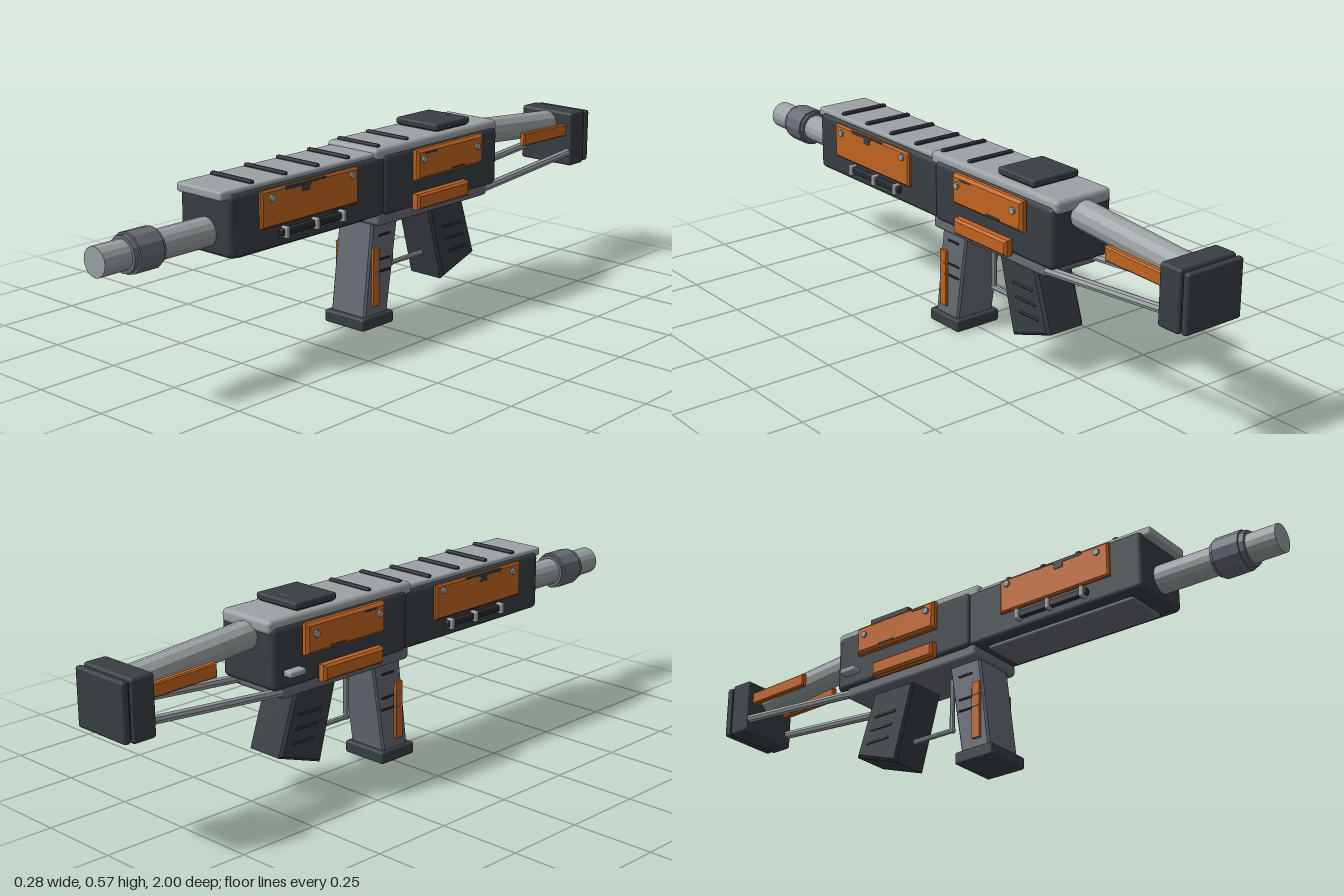
import * as THREE from 'three';
import { RoundedBoxGeometry } from 'three/addons/geometries/RoundedBoxGeometry.js';

const paint = (name, color) => {
  const m = new THREE.MeshStandardMaterial({ color });
  m.name = name;
  return m;
};

export function createModel() {
  const light = paint('light grey', 0x9ca2a4);
  const mid = paint('mid grey', 0x676c74);
  const dark = paint('dark grey', 0x383e43);
  const black = paint('near black', 0x25292d);
  const orange = paint('orange', 0xc2651f);

  const model = new THREE.Group();
  model.name = 'blaster';

  const add = (name, geometry, material) => {
    const mesh = new THREE.Mesh(geometry, material);
    mesh.name = name;
    model.add(mesh);
    return mesh;
  };

  // Soft-edged box given by its limits on each axis
  const box = (name, mat, [x0, x1], [y0, y1], [z0, z1], r = 0.006) => {
    const g = new RoundedBoxGeometry(x1 - x0, y1 - y0, z1 - z0, 2, r);
    g.translate((x0 + x1) / 2, (y0 + y1) / 2, (z0 + z1) / 2);
    return add(name, g, mat);
  };

  // Side profile of [z, y] points, extruded across x with bevelled edges
  const prism = (name, mat, points, x0, x1, b = 0.006) => {
    const shape = new THREE.Shape(points.map(([z, y]) => new THREE.Vector2(z, y)));
    const depth = x1 - x0 - 2 * b;
    const g = new THREE.ExtrudeGeometry(shape, {
      depth, bevelEnabled: true, bevelSize: b, bevelThickness: b, bevelOffset: -b, bevelSegments: 1,
    });
    g.translate(0, 0, -depth / 2);
    g.rotateY(-Math.PI / 2);
    g.translate((x0 + x1) / 2, 0, 0);
    return add(name, g, mat);
  };
  const rect = (z0, z1, y0, y1) => [[z0, y0], [z1, y0], [z1, y1], [z0, y1]];

  // Faceted rod between two points
  const rod = (name, mat, a, b, r, sides = 12) => {
    const p = new THREE.Vector3(...a), q = new THREE.Vector3(...b);
    const g = new THREE.CylinderGeometry(r, r, p.distanceTo(q), sides).toNonIndexed();
    g.computeVertexNormals();
    const m = add(name, g, mat);
    m.position.copy(p).add(q).multiplyScalar(0.5);
    m.quaternion.setFromUnitVectors(new THREE.Vector3(0, 1, 0), q.sub(p).normalize());
    return m;
  };

  // Barrel and muzzle collar
  rod('barrel', light, [0, 0.407, 0.58], [0, 0.407, 1], 0.042, 16);
  rod('muzzleCollar', mid, [0, 0.407, 0.815], [0, 0.407, 0.895], 0.058, 12);
  rod('muzzleCollarLip', mid, [0, 0.407, 0.805], [0, 0.407, 0.91], 0.052, 12);

  // Fore body
  box('foreBody', dark, [-0.1, 0.1], [0.345, 0.522], [0.01, 0.622], 0.016);
  box('foreTopRail', light, [-0.088, 0.088], [0.507, 0.534], [0.03, 0.645], 0.008);
  box('foreBottomPlate', mid, [-0.07, 0.07], [0.334, 0.36], [0.065, 0.57], 0.006);

  // Receiver with top cover and belly plate
  box('receiver', dark, [-0.106, 0.106], [0.345, 0.525], [-0.5, 0.022], 0.016);
  box('receiverCover', light, [-0.098, 0.098], [0.505, 0.546], [-0.508, 0.05], 0.014);
  box('bellyPlate', mid, [-0.098, 0.098], [0.314, 0.355], [-0.465, 0.038], 0.012);

  // Cross ribs along the top
  for (const z of [0.145, 0.27, 0.395, 0.522])
    box('topRib', black, [-0.08, 0.08], [0.525, 0.543], [z - 0.008, z + 0.008], 0.005);
  for (const z of [0.018, -0.107])
    box('topRib', black, [-0.08, 0.08], [0.535, 0.554], [z - 0.008, z + 0.008], 0.005);

  // Sight block
  box('sightBase', dark, [-0.075, 0.075], [0.53, 0.556], [-0.385, -0.245], 0.004);
  box('sightBlock', dark, [-0.081, 0.081], [0.549, 0.57], [-0.393, -0.238], 0.006);
  box('sightMark', light, [-0.022, 0.022], [0.566, 0.5725], [-0.365, -0.357], 0.002);

  // Front grip with foot
  prism('grip', mid, [[0.067, 0.03], [-0.036, 0.03], [-0.083, 0.325], [0.03, 0.325]], -0.067, 0.067);
  box('gripFoot', dark, [-0.078, 0.078], [0, 0.038], [-0.052, 0.083], 0.007);

  // Trigger guard
  rod('guardFront', light, [0, 0.32, -0.125], [0, 0.145, -0.125], 0.008, 8);
  rod('guardBottom', light, [0, 0.152, -0.118], [0, 0.152, -0.28], 0.008, 8);

  // Slanted magazine with grooves
  prism('magazine', dark, [[-0.29, 0.075], [-0.447, 0.128], [-0.38, 0.325], [-0.222, 0.325]], -0.066, 0.066, 0.008);

  // Stock: main tube, butt and pad
  rod('stockTube', light, [0, 0.493, -0.46], [0, 0.456, -0.91], 0.042, 12);
  box('butt', dark, [-0.1, 0.1], [0.326, 0.502], [-0.973, -0.898], 0.009);
  box('buttCore', black, [-0.09, 0.09], [0.338, 0.49], [-0.985, -0.96], 0.004);
  box('buttPad', dark, [-0.098, 0.098], [0.33, 0.498], [-1, -0.978], 0.008);

  // Parts mirrored on both sides
  for (const s of [-1, 1]) {
    const span = (a, b) => (s > 0 ? [a, b] : [-b, -a]);

    prism('foreSidePanel', orange, rect(0.14, 0.52, 0.41, 0.515), ...span(0.096, 0.112), 0.005);
    prism('rearSidePanel', orange, rect(-0.4, -0.095, 0.433, 0.523), ...span(0.104, 0.132), 0.008);
    prism('lowerSidePanel', orange, rect(-0.335, -0.1, 0.342, 0.39), ...span(0.1, 0.132), 0.007);

    // Panel screws
    for (const [z, y, x] of [[0.483, 0.492, 0.111], [0.168, 0.497, 0.111], [-0.12, 0.493, 0.131], [-0.367, 0.49, 0.131]])
      rod('panelScrew', light, [s * (x - 0.01), y, z], [s * (x + 0.008), y, z], 0.01, 10);

    // Worn chips along the panel edges
    const chips = [[0.33, 0.43, 0.504, 0.513, 0.112], [0.27, 0.36, 0.508, 0.513, 0.112], [0.335, 0.365, 0.488, 0.506, 0.112],
      [-0.18, -0.13, 0.508, 0.514, 0.132], [-0.31, -0.25, 0.442, 0.447, 0.132]];
    for (const [z0, z1, y0, y1, x] of chips)
      box('paintChip', dark, span(x - 0.004, x + 0.001), [y0, y1], [z0, z1], 0.001);

    // Vent slot with three clips under the fore panel
    box('ventSlot', black, span(0.095, 0.114), [0.376, 0.397], [0.19, 0.445], 0.005);
    for (const z of [0.43, 0.312, 0.205])
      box('ventClip', light, span(0.095, 0.122), [0.37, 0.403], [z - 0.007, z + 0.007], 0.004);

    // Grip inlay and pins
    box('gripInlay', orange, span(0.066, 0.076), [0.066, 0.242], [0.008, 0.036], 0.002);
    for (const y of [0.277, 0.203, 0.167])
      box('gripGroove', black, span(0.063, 0.071), [y - 0.003, y + 0.003], [-0.045, 0.004], 0.002);
    for (const y of [0.203, 0.167])
      box('gripPin', light, span(0.066, 0.078), [y - 0.003, y + 0.003], [0.01, 0.034], 0.002);

    // Magazine grooves
    for (const [i, y] of [0.24, 0.2, 0.16].entries())
      box('magazineGroove', black, span(0.062, 0.069), [y - 0.004, y + 0.004], [-0.375 - i * 0.014, -0.29 - i * 0.014], 0.003);

    // Stock strut and cheek fin
    rod('stockStrut', light, [s * 0.085, 0.332, -0.44], [s * 0.085, 0.371, -0.91], 0.013, 8);
    prism('stockFin', orange, [[-0.675, 0.428], [-0.9, 0.424], [-0.9, 0.464], [-0.675, 0.47]], ...span(0.06, 0.08), 0.004);
  }

  // Charging handle on the right side only
  box('chargingHandle', light, [-0.134, -0.1], [0.384, 0.402], [-0.465, -0.405], 0.006);

  return model;
}
